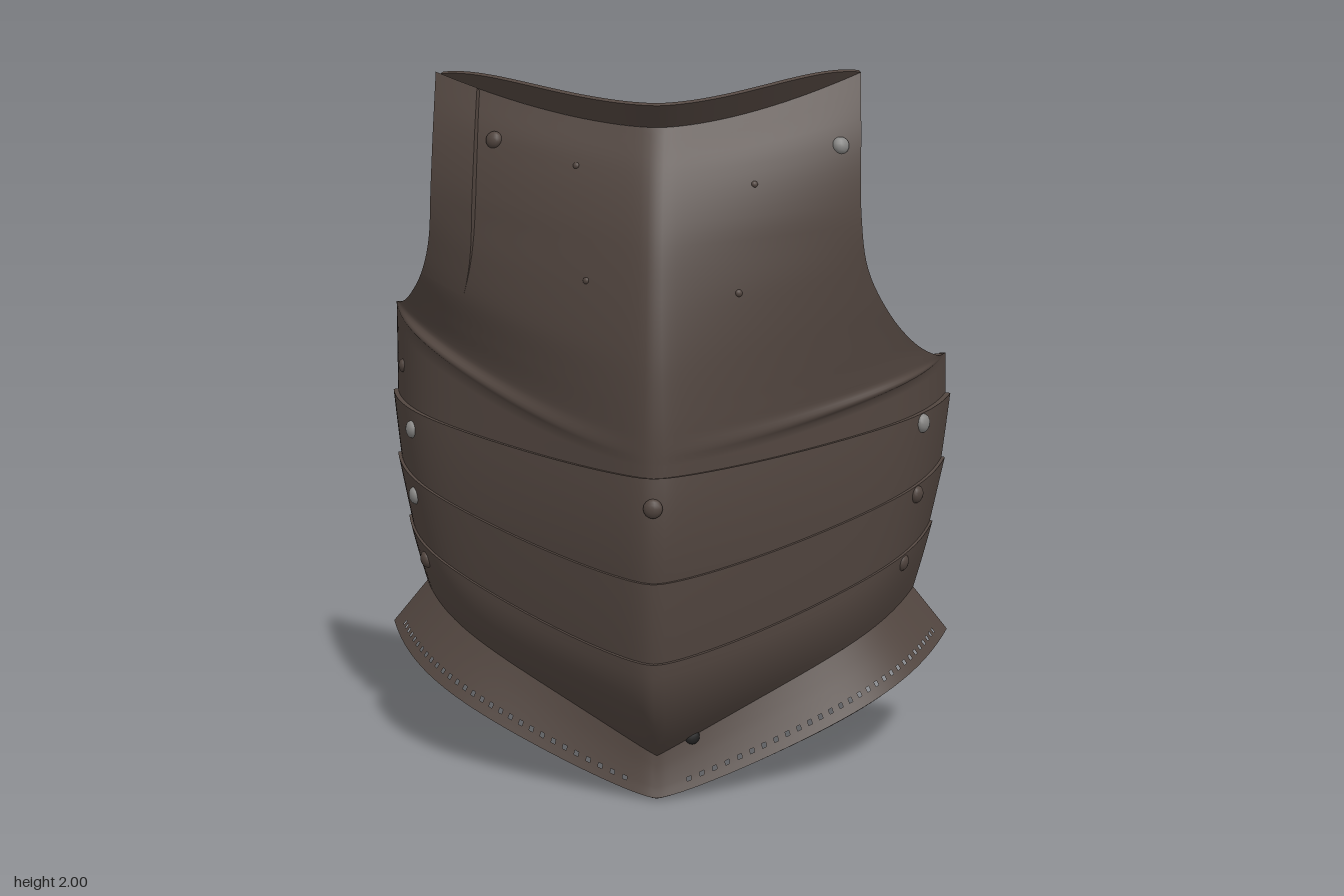
import * as THREE from 'three';

const mat = (name, color, side = THREE.FrontSide) => {
  const m = new THREE.MeshStandardMaterial({ color, side });
  m.name = name;
  return m;
};
const V = (x, y, z) => new THREE.Vector3(x, y, z);
const range = (n, a = 0, b = 1) => Array.from({ length: n + 1 }, (_, i) => a + (b - a) * i / n);
const wide = (s) => Math.sin(s * Math.PI / 2); // packs columns towards the side
const soft = (u) => (Math.hypot(u, 0.05) - 0.05) / (Math.hypot(1, 0.05) - 0.05); // slightly rounded keel

// Contour from a centre point to an edge point: p = how the height rises,
// a = straight share of the keeled section, n = how late the side wraps back
const contour = (u, yc, zc, edge, p, a, n) => V(
  edge.x * u,
  yc + (edge.y - yc) * Math.pow(u, p),
  zc - (zc - edge.z) * (a * soft(u) + (1 - a) * Math.pow(u, n)),
);
const level = (yc, ys, zc, zs, xs, p, a = 0.7, n = 12) => (u) => contour(u, yc, zc, V(xs, ys, zs), p, a, n);

// Keel of the breastplate from foot to neck, and the section shape (a, n) along it
const curve = (pts) => new THREE.CatmullRomCurve3(pts.map((q) => V(...q)));
const keel = curve([[0, 0.89, 0.403], [0, 0.96, 0.402], [0, 1.03, 0.4], [0, 1.12, 0.393], [0, 1.23, 0.38],
  [0, 1.38, 0.353], [0, 1.55, 0.312], [0, 1.71, 0.255], [0, 1.83, 0.195]]);
const section = curve([[0.7, 12, 0], [0.68, 12, 0], [0.78, 10, 0], [0.87, 8, 0], [0.92, 6, 0],
  [0.93, 5, 0], [0.92, 4, 0], [0.9, 4, 0], [0.87, 3, 0]]);

// Side edge: straight from foot to the sharp side tip, then along the armhole to the shoulder
function sideEdge(foot, armhole) {
  const c = curve(armhole);
  return (t) => (t < 1 / 8 ? V(...foot).lerp(c.getPoint(0), t * 8) : c.getPoint((t - 1 / 8) * 8 / 7));
}
const leftEdge = sideEdge([0.845, 1.01, -0.385], [[0.845, 1.17, -0.42], [0.8, 1.18, -0.25], [0.72, 1.23, -0.1],
  [0.64, 1.32, 0.005], [0.572, 1.45, 0.07], [0.55, 1.6, 0.085], [0.548, 1.8, 0.05], [0.55, 1.988, -0.04]]);
const rightEdge = sideEdge([0.845, 1.01, -0.385], [[0.855, 1.32, -0.44], [0.81, 1.328, -0.3], [0.75, 1.36, -0.14],
  [0.69, 1.43, -0.02], [0.652, 1.53, 0.025], [0.635, 1.66, 0.035], [0.628, 1.82, 0.015], [0.628, 1.988, -0.045]]);

const plateSurface = (edge) => (s, t) => {
  const c = keel.getPoint(t), q = section.getPoint(t);
  return contour(wide(s), c.y, c.z, edge(t), 1.6, q.x, q.y);
};

export function createModel() {
  const root = new THREE.Group();
  root.name = 'breastplate';
  const brown = mat('weathered brown', 0x50443e, THREE.DoubleSide);
  const dark = mat('dark lining', 0x1c1c1c);
  const steel = mat('worn steel', 0x878684);
  const samples = []; // outer surface points and normals, used to seat the rivets

  // Thick sheet from a grid of points: outer face, inner face and rim
  function shell(name, fn, ss, ts, side, { thick = 0.018, lining = dark, skip = () => false, seam = true } = {}) {
    const n = ss.length, rows = ts.length, pos = [], idx = [];
    for (const t of ts) for (const s of ss) {
      const p = fn(s, t);
      pos.push(p.x * side, p.y, p.z);
    }
    for (let j = 0; j < rows - 1; j++) for (let i = 0; i < n - 1; i++) {
      if (skip(i, j)) continue;
      const a = j * n + i, b = a + 1, c = a + n, d = c + 1;
      if (side > 0) idx.push(a, b, d, a, d, c);
      else idx.push(a, d, b, a, c, d);
    }
    const outer = new THREE.BufferGeometry();
    outer.setAttribute('position', new THREE.Float32BufferAttribute(pos, 3));
    outer.setIndex(idx);
    outer.computeVertexNormals();
    const P = [], Q = [];
    for (let i = 0; i < n * rows; i++) {
      const p = V().fromBufferAttribute(outer.attributes.position, i);
      const nr = V().fromBufferAttribute(outer.attributes.normal, i);
      if (Math.abs(p.x) < 1e-4) nr.setX(0).normalize(); // both halves share the keel normal
      outer.attributes.normal.setXYZ(i, nr.x, nr.y, nr.z);
      samples.push({ p, n: nr });
      P.push(p);
      Q.push(p.clone().addScaledVector(nr, -thick));
    }
    const inner = new THREE.BufferGeometry().setFromPoints(Q);
    const rev = [];
    for (let i = 0; i < idx.length; i += 3) rev.push(idx[i], idx[i + 2], idx[i + 1]);
    inner.setIndex(rev);
    inner.computeVertexNormals();

    const loop = [];
    for (let i = 0; i < n; i++) loop.push(i);
    for (let j = 1; j < rows; j++) loop.push(j * n + n - 1);
    for (let i = n - 2; i >= 0; i--) loop.push((rows - 1) * n + i);
    if (!seam) for (let j = rows - 2; j >= 0; j--) loop.push(j * n);
    const tri = [];
    for (let k = 0; k < loop.length - 1; k++) {
      const [a, b] = side > 0 ? [loop[k], loop[k + 1]] : [loop[k + 1], loop[k]];
      tri.push(P[a], Q[a], Q[b], P[a], Q[b], P[b]);
    }
    const rim = new THREE.BufferGeometry().setFromPoints(tri);
    rim.computeVertexNormals();

    const g = new THREE.Group();
    g.name = name;
    [['outerFace', outer, brown], ['innerFace', inner, lining], ['rim', rim, brown]].forEach(([nm, geo, m]) => {
      const mesh = new THREE.Mesh(geo, m);
      mesh.name = nm;
      g.add(mesh);
    });
    root.add(g);
  }

  // Sheet between two levels with an outward bulge along the keel
  const between = (low, high, bulge) => (s, t) => {
    const u = wide(s);
    const p = low(u).lerp(high(u), t);
    p.z += 4 * bulge * t * (1 - t) * (1 - 0.8 * u);
    return p;
  };

  const waist = level(0.11, 0.455, 0.26, -0.335, 0.755, 0.97, 0.57, 7);
  const lames = [
    ['UpperLame', level(0.61, 0.82, 0.42, -0.36, 0.83, 1.5), level(0.92, 1.05, 0.418, -0.385, 0.859, 1.6), 0.012],
    ['MiddleLame', level(0.39, 0.63, 0.415, -0.34, 0.795, 1.5), level(0.64, 0.855, 0.434, -0.365, 0.845, 1.5), 0.004],
    ['LowerLame', waist, level(0.42, 0.66, 0.43, -0.345, 0.81, 1.5), 0.045],
  ];
  const flange = between(level(0, 0.33, 0.295, -0.31, 0.858, 1.25, 0.48, 7), waist, -0.004);

  for (const side of [1, -1]) {
    const word = side > 0 ? 'left' : 'right';
    const surf = plateSurface(side > 0 ? leftEdge : rightEdge);
    shell(word + 'Breastplate', surf, range(48), range(48), side);
    for (const [name, low, high, bulge] of lames) {
      shell(word + name, between(low, high, bulge), range(44), range(8), side);
    }
    // Flared skirt with a row of small pierced holes near its edge
    shell(word + 'Flange', flange, range(110), [0, 0.1, 0.17, 0.25, 0.5, 0.75, 1], side,
      { skip: (i, j) => j === 2 && i % 3 === 1 && i > 5 && i < 92 });
    // Neck lip turned outwards
    const lip = (s, t) => {
      const fade = t * (1 - Math.pow(wide(s), 5));
      return surf(s, 1).add(V(0, 0.055 * fade, 0.045 * fade));
    };
    shell(word + 'NeckLip', lip, range(28), range(3), side, { thick: 0.012, lining: brown });
    if (side > 0) {
      // Bright worn patch on the lip
      const wear = (s, t) => lip(s, t).add(V(0, 0.012, -0.012));
      shell('lipWear', wear, range(4, 0, 0.11), range(2, 0.05, 0.55), side, { thick: 0.004, lining: steel });
    } else {
      // Reinforcing strip beside the right armhole
      const strip = (s, t) => {
        const r = THREE.MathUtils.smoothstep(t, 0.5, 0.8);
        return surf(s, t).add(V(0.01, 0.005, 0.016).multiplyScalar(r));
      };
      shell('rightShoulderStrip', strip, range(14, 0.59, 1), range(20, 0.5, 1), side, { seam: false });
    }
  }

  // Domed rivets seated on the nearest outer surface point
  const dome = new THREE.SphereGeometry(1, 14, 8);
  function rivet(name, x, y, r, m, depth = 0, flat = 0.65) {
    let best = null, bd = Infinity;
    for (const q of samples) {
      const d = (q.p.x - x) ** 2 + (q.p.y - y) ** 2;
      if (d < bd && q.n.z > 0) { bd = d; best = q; }
    }
    const mesh = new THREE.Mesh(dome, m);
    mesh.name = name;
    mesh.position.copy(best.p).addScaledVector(best.n, -depth);
    mesh.scale.set(r, r, r * flat);
    mesh.quaternion.setFromUnitVectors(V(0, 0, 1), best.n);
    root.add(mesh);
  }
  [
    [-0.455, 1.79, 0.024, brown], [0.49, 1.79, 0.024, steel],
    [-0.755, 0.965, 0.026, steel], [0.755, 1.0, 0.028, steel], [0, 0.84, 0.026, brown],
    [-0.735, 0.77, 0.026, steel], [0.73, 0.795, 0.026, brown],
    [-0.715, 0.58, 0.026, brown], [0.7, 0.585, 0.026, brown], [-0.79, 1.14, 0.02, brown],
    [-0.22, 1.74, 0.009, brown], [0.25, 1.69, 0.009, brown], [0.22, 1.4, 0.01, brown], [-0.18, 1.43, 0.009, brown],
    [0.09, 0.165, 0.022, dark, 0, 0.3],
  ].forEach((r) => rivet('rivet', ...r));
  // Flattened rivet ends on the inside
  [[-0.455, 1.79], [-0.79, 1.14]].forEach(([x, y]) => rivet('rivetEnd', x, y, 0.026, steel, 0.018, 0.3));
  return root;
}
